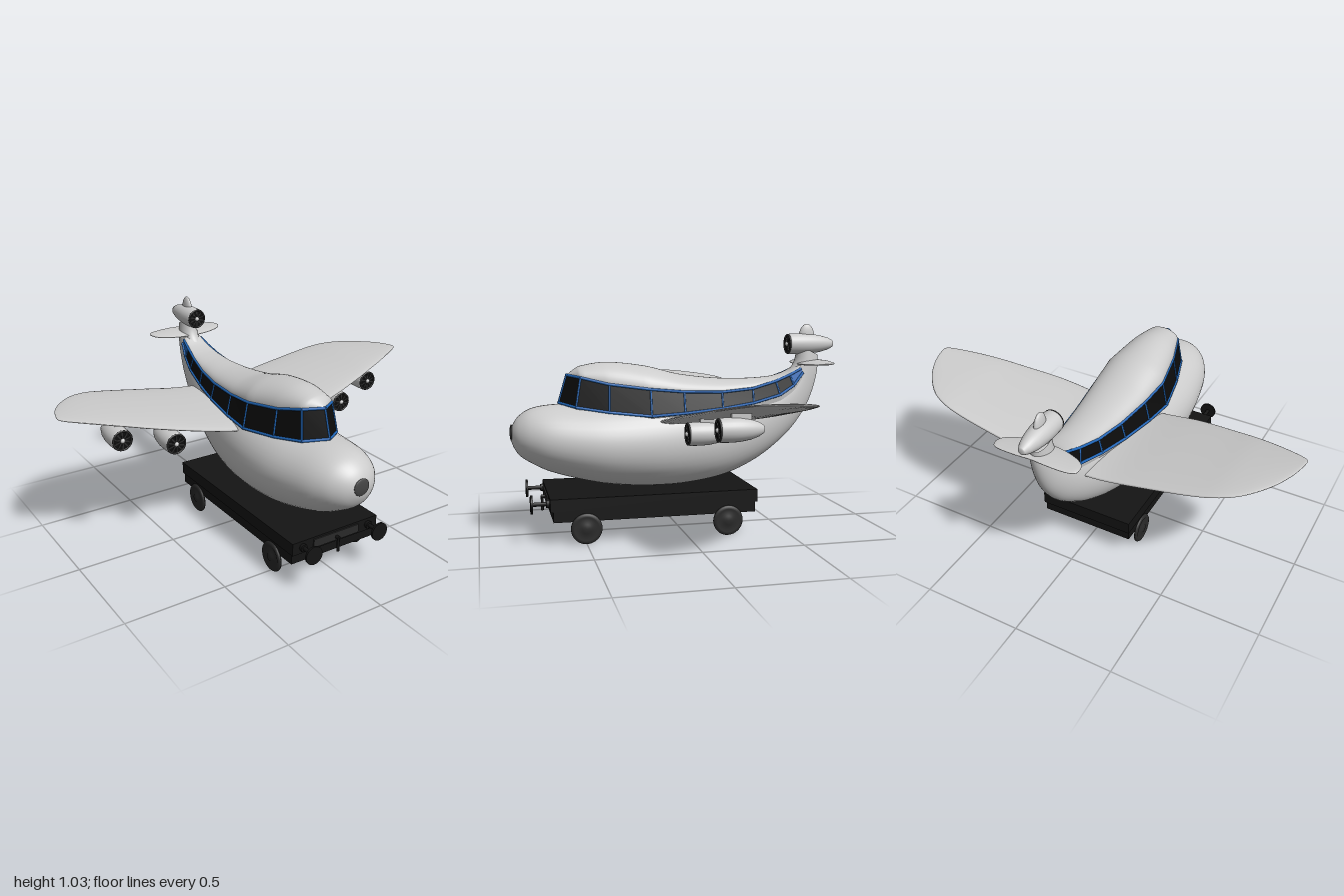
import * as THREE from 'three';

const V = (x, y, z) => new THREE.Vector3(x, y, z);
const paint = (color) => new THREE.MeshStandardMaterial({ color, side: THREE.DoubleSide });
const grey = paint(0xcccccc), black = paint(0x0c0c0c), blue = paint(0x1f66b8);
const dark = paint(0x141414), tyre = paint(0x2a2a2a), cap = paint(0x444444);

function add(parent, name, geometry, material, x = 0, y = 0, z = 0) {
  const mesh = new THREE.Mesh(geometry, material);
  mesh.name = name;
  mesh.position.set(x, y, z);
  parent.add(mesh);
  return mesh;
}

// Skin over a list of equal-length point rows
function loft(rows, closed) {
  const n = rows[0].length, index = [];
  for (let i = 0; i < rows.length - 1; i++) {
    for (let j = 0; j < (closed ? n : n - 1); j++) {
      const k = (j + 1) % n;
      const a = i * n + j, b = i * n + k, c = a + n, d = b + n;
      index.push(a, b, c, b, d, c);
    }
  }
  const g = new THREE.BufferGeometry().setFromPoints(rows.flat());
  g.setIndex(index);
  g.computeVertexNormals();
  return g;
}

const smooth = (points, n) => new THREE.CatmullRomCurve3(points, false, 'catmullrom').getPoints(n);

// Straight round bar between two points
function rod(parent, name, a, b, r, material) {
  const d = b.clone().sub(a);
  const m = add(parent, name, new THREE.CylinderGeometry(r, r, d.length(), 8), material);
  m.position.copy(a).add(b).multiplyScalar(0.5);
  m.quaternion.setFromUnitVectors(V(0, 1, 0), d.normalize());
}

// Fuselage: tilted ellipses between a top and a bottom line
function hull() {
  const s = [ // top z, top y, bottom z, bottom y, half width
    [0.838, 0.5, 0.838, 0.5, 0], [0.825, 0.55, 0.825, 0.45, 0.055], [0.795, 0.593, 0.795, 0.402, 0.105],
    [0.74, 0.628, 0.74, 0.363, 0.152], [0.65, 0.645, 0.65, 0.318, 0.192], [0.5, 0.65, 0.5, 0.273, 0.222],
    [0.35, 0.658, 0.35, 0.242, 0.235], [0.15, 0.67, 0.15, 0.225, 0.23], [-0.05, 0.68, -0.05, 0.23, 0.205],
    [-0.2, 0.69, -0.25, 0.265, 0.165], [-0.33, 0.705, -0.43, 0.345, 0.125], [-0.45, 0.73, -0.58, 0.46, 0.09],
    [-0.54, 0.76, -0.67, 0.57, 0.07], [-0.6, 0.8, -0.72, 0.67, 0.058], [-0.63, 0.85, -0.75, 0.78, 0.05],
    [-0.64, 0.92, -0.755, 0.87, 0.042]];
  const top = smooth(s.map(r => V(r[4], r[1], r[0])), 75);
  const low = smooth(s.map(r => V(0, r[3], r[2])), 75);
  return loft(top.map((t, i) => Array.from({ length: 40 }, (_, j) => {
    const a = j / 40 * Math.PI * 2, p = low[i].clone().lerp(t, 0.5 + 0.5 * Math.cos(a));
    p.x = Math.max(t.x, 0) * Math.sin(a);
    return p;
  })), true);
}

// Cabin: window band with blue frame and a domed roof
function cabin() {
  const g = new THREE.Group();
  g.name = 'cabin';
  const sill = [[0, 0.655, 0.6], [0.1, 0.64, 0.525], [0.147, 0.617, 0.37], [0.185, 0.597, 0.17], [0.172, 0.605, 0],
    [0.145, 0.62, -0.2], [0.114, 0.64, -0.37], [0.087, 0.675, -0.52], [0.07, 0.72, -0.6], [0.056, 0.785, -0.655]].map(p => V(...p));
  const head = [[0, 0.79, 0.56], [0.085, 0.782, 0.5], [0.125, 0.75, 0.365], [0.16, 0.725, 0.17], [0.147, 0.708, 0],
    [0.122, 0.7, -0.2], [0.096, 0.712, -0.37], [0.075, 0.745, -0.5], [0.062, 0.775, -0.58], [0.052, 0.805, -0.645]].map(p => V(...p));
  const ridge = [0.79, 0.832, 0.851, 0.83, 0.787, 0.762, 0.758, 0.766, 0.787, 0.83];
  const last = sill.length - 1;

  for (const s of [1, -1]) {
    const m = p => V(p.x * s, p.y, p.z);
    const skirt = p => V(p.x * s * 0.9, p.y - 0.035, p.z - 0.01);
    for (let i = 0; i < last; i++) {
      const [a, b, c, d] = [sill[i], sill[i + 1], head[i], head[i + 1]].map(m);
      const rows = s > 0 ? [[a, b], [c, d]] : [[b, a], [d, c]];
      add(g, 'window', loft(rows), i === last - 1 ? blue : black);
      add(g, 'windowSkirt', loft([[skirt(sill[i]), skirt(sill[i + 1])], [a, b]]), grey);
      rod(g, 'sillFrame', a, b, 0.007, blue);
      rod(g, 'headFrame', c, d, 0.007, blue);
      if (i || s > 0) rod(g, 'windowPost', a, c, 0.005, blue);
    }
  }

  const steps = last * 6;
  const crest = smooth(ridge.map((y, i) => V(0, y, head[i].z)), steps);
  const rows = crest.map((c, i) => {
    const k = Math.min(Math.floor(i / 6), last - 1);
    const e = head[k].clone().lerp(head[k + 1], i / 6 - k);
    return Array.from({ length: 25 }, (_, j) => {
      const a = j / 24 * Math.PI;
      return V(e.x * Math.cos(a), e.y + Math.max(c.y - e.y, 0) * Math.sin(a), e.z);
    });
  });
  add(g, 'roof', loft(rows), grey);
  return g;
}

// Wing or tailplane from span stations: x, leading z, trailing z, y, thickness, trailing rise
function wing(stations) {
  const a = smooth(stations.map(s => V(s[0], s[3], s[1])), 48);
  const b = smooth(stations.map(s => V(s[4], s[5], s[2])), 48);
  return loft(a.map((p, i) => Array.from({ length: 28 }, (_, j) => {
    const t = j / 28 * Math.PI * 2, u = Math.cos(t);
    const z = (p.z + b[i].z) / 2 + u * (p.z - b[i].z) / 2;
    return V(p.x, p.y + b[i].y * (1 - u) / 2 + b[i].x / 2 * Math.sin(t), z);
  })), true);
}

// Engine with its intake at z = 0 and the tail cone pointing to -z
function engine(length) {
  const g = new THREE.Group();
  g.name = 'engine';
  const profile = [[0.04, -0.02], [0.043, 0], [0.05, 0], [0.053, 0.008], [0.054, 0.06], [0.052, 0.1], [0.044, 0.15],
    [0.031, 0.19], [0.018, 0.212], [0.012, 0.215], [0, 0.215]];
  const pts = profile.map(([r, z]) => new THREE.Vector2(r, Math.abs(z) * length / 0.215));
  add(g, 'nacelle', new THREE.LatheGeometry(pts, 28), grey).rotation.x = -Math.PI / 2;
  add(g, 'intakeRim', new THREE.TorusGeometry(0.047, 0.005, 8, 28), tyre);
  add(g, 'intake', new THREE.CircleGeometry(0.045, 28), black, 0, 0, 0.001);
  for (let i = 0; i < 10; i++) {
    const blade = add(g, 'fanBlade', new THREE.BoxGeometry(0.007, 0.034, 0.002).translate(0, 0.026, 0), tyre, 0, 0, 0.002);
    blade.rotation.z = i / 10 * Math.PI * 2;
  }
  add(g, 'hub', new THREE.SphereGeometry(0.012, 12, 8), grey, 0, 0, 0.002);
  return g;
}

// Wheeled cart under the fuselage
function cart() {
  const g = new THREE.Group();
  g.name = 'cart';
  add(g, 'deck', new THREE.BoxGeometry(0.49, 0.062, 1.02), dark, 0, 0.194, 0.16);
  add(g, 'chassis', new THREE.BoxGeometry(0.48, 0.05, 0.995), dark, 0, 0.137, 0.158);
  add(g, 'frontPanel', new THREE.BoxGeometry(0.26, 0.042, 0.01), tyre, 0, 0.194, 0.672);
  rod(g, 'couplingHook', V(0, 0.195, 0.69), V(0, 0.12, 0.69), 0.007, dark);
  rod(g, 'couplingBar', V(0, 0.19, 0.66), V(0, 0.19, 0.695), 0.009, dark);
  for (const s of [1, -1]) {
    rod(g, 'bufferSleeve', V(0.19 * s, 0.194, 0.64), V(0.19 * s, 0.194, 0.685), 0.019, dark);
    rod(g, 'bufferRod', V(0.19 * s, 0.194, 0.66), V(0.19 * s, 0.194, 0.752), 0.01, dark);
    add(g, 'bufferPlate', new THREE.CylinderGeometry(0.045, 0.045, 0.01, 24), dark, 0.19 * s, 0.194, 0.754).rotation.x = Math.PI / 2;
    for (const z of [0.5, -0.2]) {
      const pts = [[0, 0.012], [0.02, 0.012], [0.024, 0.007], [0.052, 0.005], [0.058, 0.008], [0.07, 0.006], [0.075, 0], [0.075, -0.006], [0, -0.006]];
      const wheel = add(g, 'wheel', new THREE.LatheGeometry(pts.map(p => new THREE.Vector2(...p)).reverse(), 32), tyre, 0.243 * s, 0.076, z);
      wheel.rotation.z = -s * Math.PI / 2;
    }
  }
  for (const z of [0.5, -0.2]) rod(g, 'axle', V(-0.24, 0.09, z), V(0.24, 0.09, z), 0.012, dark);
  return g;
}

export function createModel() {
  const model = new THREE.Group();
  model.name = 'aeroplaneOnCart';
  add(model, 'fuselage', hull(), grey);
  add(model, 'noseCap', new THREE.SphereGeometry(0.042, 24, 12), cap, 0, 0.512, 0.831).scale.z = 0.2;
  model.add(cabin(), cart());

  // Wings, tailplane and wing engines, mirrored
  for (const s of [1, -1]) {
    const side = new THREE.Group();
    side.name = s > 0 ? 'leftSide' : 'rightSide';
    side.scale.x = s;
    add(side, 'wing', wing([
      [0.05, 0.135, -0.5, 0.553, 0.055, 0.03], [0.2, 0.13, -0.5, 0.572, 0.052, 0.025], [0.4, 0.11, -0.495, 0.612, 0.048, 0.02],
      [0.6, 0.062, -0.485, 0.653, 0.043, 0.015], [0.72, 0.028, -0.465, 0.68, 0.038, 0.01], [0.82, -0.005, -0.415, 0.7, 0.03, 0.005],
      [0.91, -0.04, -0.32, 0.717, 0.022, 0], [0.965, -0.065, -0.225, 0.727, 0.014, 0], [0.99, -0.082, -0.15, 0.732, 0.008, 0],
      [1, -0.1, -0.1, 0.734, 0, 0]]), grey);
    add(side, 'tailplane', wing([
      [0, -0.63, -0.775, 0.828, 0.022, 0.015], [0.08, -0.638, -0.78, 0.828, 0.02, 0.015], [0.15, -0.66, -0.777, 0.83, 0.016, 0.01],
      [0.19, -0.685, -0.768, 0.832, 0.012, 0.006], [0.207, -0.71, -0.752, 0.835, 0.007, 0], [0.212, -0.733, -0.733, 0.836, 0, 0]]), grey);
    for (const [x, y, z] of [[0.495, 0.553, 0.07], [0.735, 0.602, -0.003]]) {
      const e = engine(0.203);
      e.position.set(x, y, z);
      side.add(e);
      add(side, 'pylon', new THREE.BoxGeometry(0.02, 0.05, 0.09), grey, x, y + 0.055, z - 0.1);
    }
    model.add(side);
  }

  // Tail engine with its small fin
  const tailEngine = engine(0.25);
  tailEngine.position.set(0, 0.93, -0.588);
  model.add(tailEngine);
  add(model, 'fin', new THREE.SphereGeometry(1, 20, 14), grey, 0, 0.965, -0.692).scale.set(0.018, 0.068, 0.043);
  return model;
}
